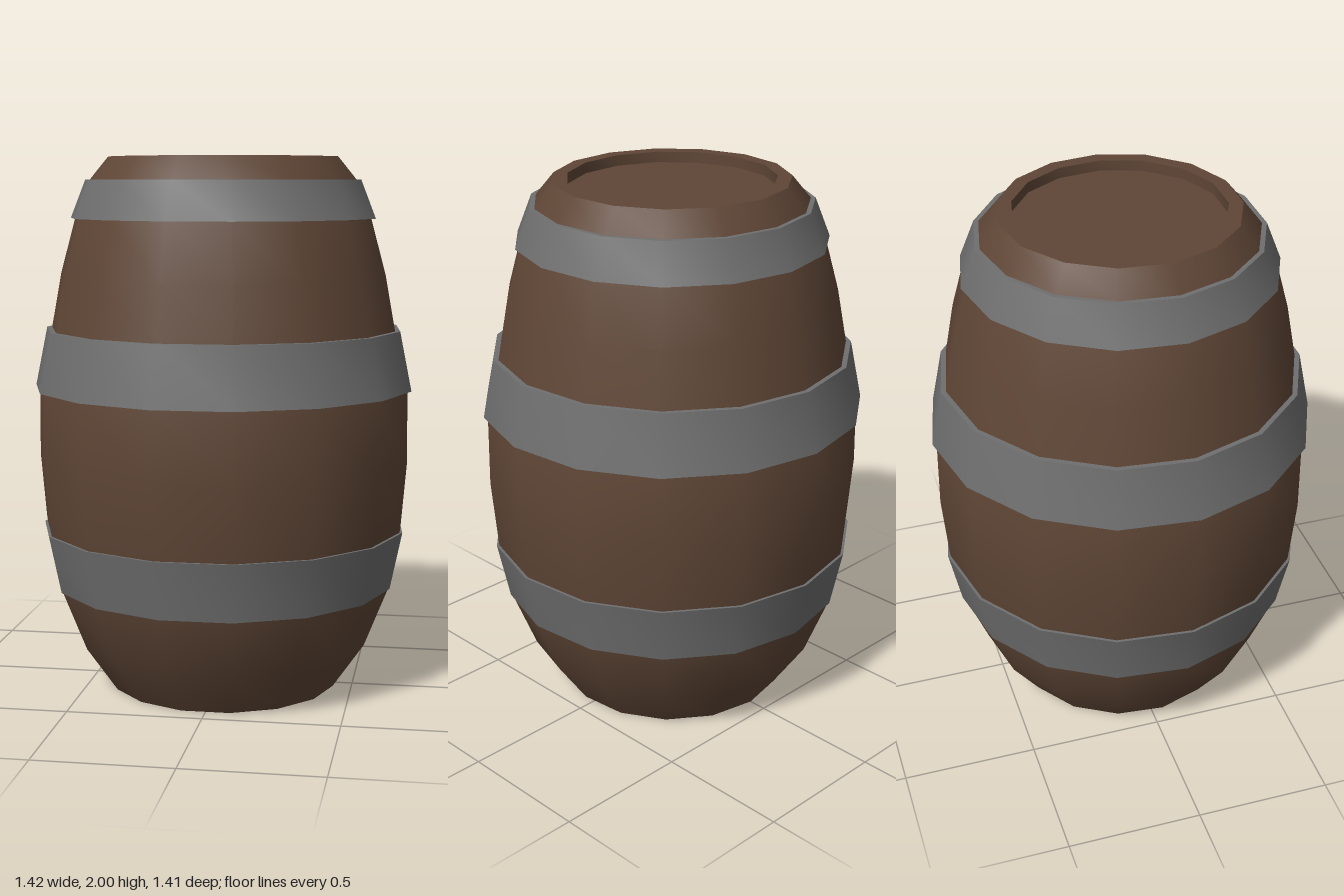
import * as THREE from 'three';
import { toCreasedNormals } from 'three/addons/utils/BufferGeometryUtils.js';

const SIDES = 15;
const CREASE = 0.7;

// Turns a [radius, height] profile into a 15-sided solid with one corner at the back
function turned(name, profile, material) {
  const points = profile.map(([r, y]) => new THREE.Vector2(r, y));
  const lathe = new THREE.LatheGeometry(points, SIDES, Math.PI);
  const mesh = new THREE.Mesh(toCreasedNormals(lathe, CREASE), material);
  mesh.name = name;
  return mesh;
}

// Closed tapered ring, sunk slightly into the staves
function hoop(name, bottomRadius, bottomY, topRadius, topY, material) {
  const t = 0.03;
  return turned(name, [
    [bottomRadius - t, bottomY],
    [bottomRadius, bottomY],
    [topRadius, topY],
    [topRadius - t, topY],
    [bottomRadius - t, bottomY],
  ], material);
}

export function createModel() {
  const model = new THREE.Group();
  model.name = 'barrel';
  const wood = new THREE.MeshStandardMaterial({ color: 0x5f4636 });
  const iron = new THREE.MeshStandardMaterial({ color: 0x6f6f6f });

  // Bulging body with flat base, rim and recessed lid
  model.add(turned('body', [
    [0, 0], [0.432, 0],
    [0.55, 0.17], [0.645, 0.41], [0.682, 0.63],
    [0.703, 0.88], [0.7, 1.14],
    [0.65, 1.37], [0.613, 1.57], [0.556, 1.78], [0.502, 1.915],
    [0.432, 2], [0.38, 2],
    [0.38, 1.96], [0, 1.96],
  ], wood));

  // Iron hoops
  model.add(
    hoop('lowerHoop', 0.645, 0.395, 0.69, 0.613, iron),
    hoop('middleHoop', 0.715, 1.145, 0.67, 1.365, iron),
    hoop('upperHoop', 0.574, 1.775, 0.518, 1.917, iron),
  );
  return model;
}
